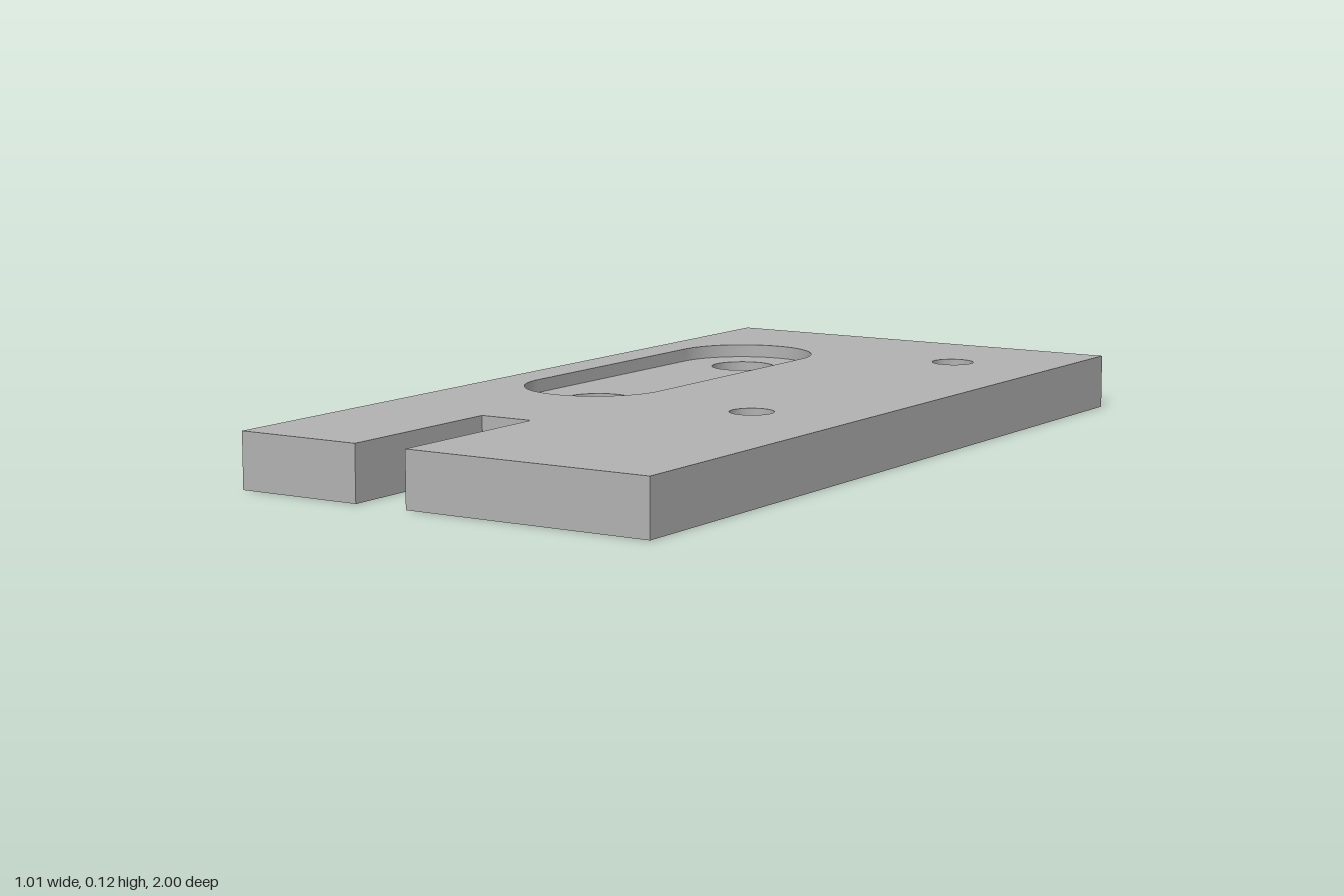
import * as THREE from 'three';
import { toCreasedNormals } from 'three/addons/utils/BufferGeometryUtils.js';

const HEIGHT = 0.125, FLOOR = 0.095; // plate top and pocket floor

// Closed rounded ring (a circle when z0 equals z1); plan coordinates are (x, -z)
function ring(x, z0, z1, r) {
  const path = new THREE.Path();
  path.absarc(x, -z0, r, 0, Math.PI);
  path.absarc(x, -z1, r, Math.PI, Math.PI * 2);
  return path.getPoints(16);
}

// Vertical wall along a closed loop, facing outward for a counter-clockwise loop
function wall(points, y0, y1) {
  const pos = [];
  points.forEach((a, i) => {
    const b = points[(i + 1) % points.length];
    if (a.distanceTo(b) < 1e-6) return;
    const p = [a.x, y0, -a.y], q = [b.x, y0, -b.y];
    const s = [b.x, y1, -b.y], t = [a.x, y1, -a.y];
    pos.push(...p, ...q, ...s, ...p, ...s, ...t);
  });
  const geo = new THREE.BufferGeometry();
  geo.setAttribute('position', new THREE.Float32BufferAttribute(pos, 3));
  return toCreasedNormals(geo, Math.PI / 6);
}

// Horizontal face with holes, facing up or down
function face(points, holes, y, down = false) {
  const shape = new THREE.Shape(points);
  shape.holes = holes.map((h) => new THREE.Path(h));
  const geo = new THREE.ShapeGeometry(shape).rotateX(-Math.PI / 2).translate(0, y, 0);
  if (down) {
    geo.index.array.reverse();
    geo.computeVertexNormals();
  }
  return geo;
}

export function createModel() {
  const model = new THREE.Group();
  model.name = 'mountingPlate';
  const metal = new THREE.MeshStandardMaterial({ color: 0xb2b2b2 });
  metal.name = 'grey metal';
  const add = (name, geo) => {
    const mesh = new THREE.Mesh(geo, metal);
    mesh.name = name;
    model.add(mesh);
  };

  // Plate outline with the open slot at the front edge
  const outline = [
    [-0.507, -1], [-0.209, -1], [-0.209, -0.566], [-0.081, -0.566],
    [-0.081, -1], [0.507, -1], [0.507, 1], [-0.507, 1],
  ].map(([x, y]) => new THREE.Vector2(x, y));

  // Pocket, its two bolt holes, and the two small holes
  const pocket = ring(-0.251, -0.563, 0.066, 0.167);
  const boltHoles = [-0.563, 0.066].map((z) => ring(-0.251, z, z, 0.075));
  const pinHoles = [-0.709, 0.212].map((z) => ring(0.251, z, z, 0.049));

  add('topFace', face(outline, [pocket, ...pinHoles], HEIGHT));
  add('bottomFace', face(outline, [...boltHoles, ...pinHoles], 0, true));
  add('plateEdge', wall(outline, 0, HEIGHT));
  add('pocketFloor', face(pocket, boltHoles, FLOOR));
  add('pocketWall', wall([...pocket].reverse(), FLOOR, HEIGHT));
  boltHoles.forEach((h) => add('boltHole', wall([...h].reverse(), 0, FLOOR)));
  pinHoles.forEach((h) => add('pinHole', wall([...h].reverse(), 0, HEIGHT)));
  return model;
}
